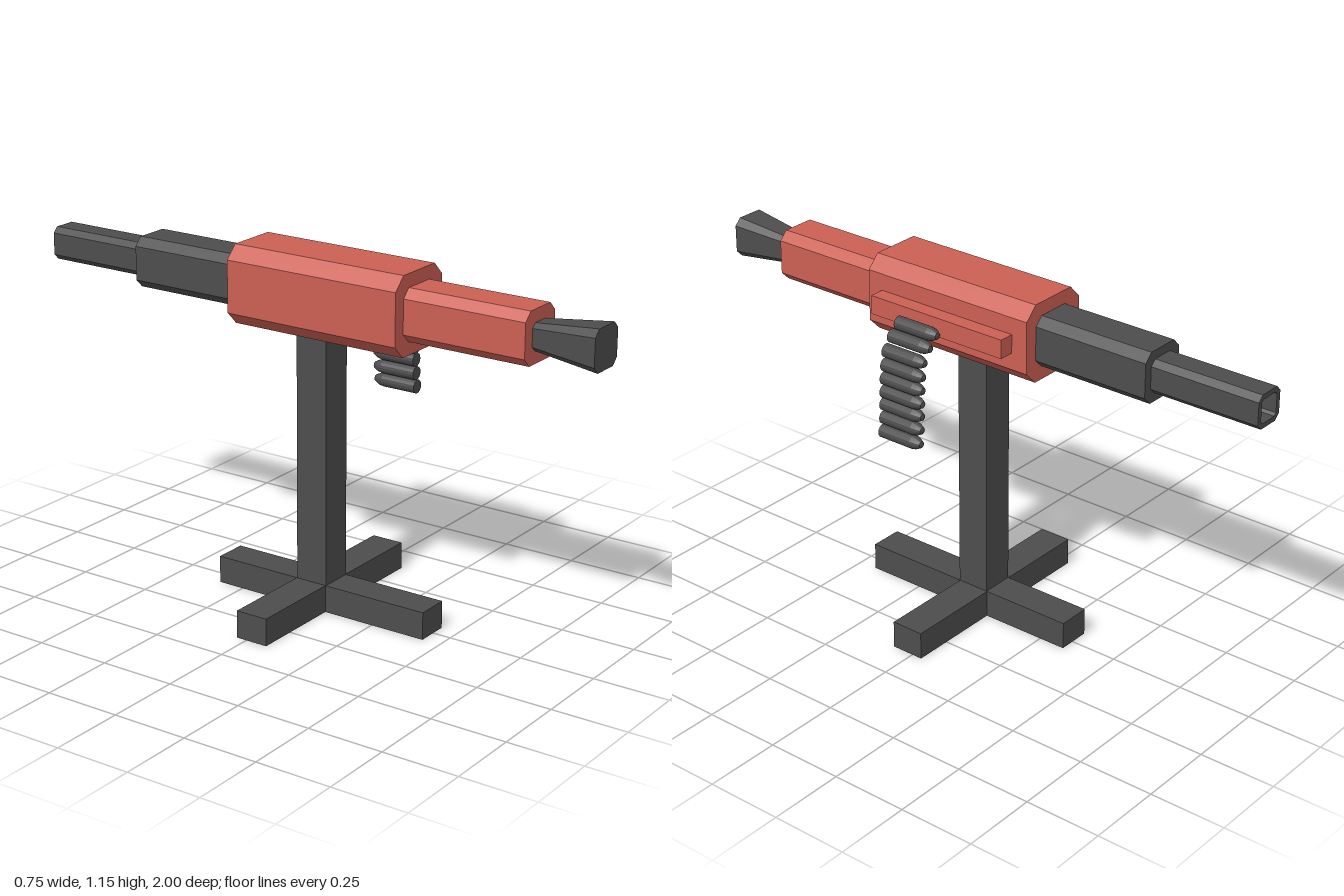
import * as THREE from 'three';

const CX = -0.008, CY = 1.028; // axis shared by the long body parts

// Square outline with cut corners
function octagon(half, cut, Type = THREE.Shape) {
  const a = half, b = half - cut;
  return new Type([[b, -a], [a, -b], [a, b], [b, a], [-b, a], [-a, b], [-a, -b], [-b, -a]]
    .map(([x, y]) => new THREE.Vector2(x, y)));
}

export function createModel() {
  const model = new THREE.Group();
  const red = new THREE.MeshStandardMaterial({ color: 0xcc6054, flatShading: true });
  const dark = new THREE.MeshStandardMaterial({ color: 0x4d4d4d, flatShading: true });

  function add(name, geometry, material, x = 0, y = 0, z = 0, parent = model) {
    const mesh = new THREE.Mesh(geometry, material);
    mesh.name = name;
    mesh.position.set(x, y, z);
    parent.add(mesh);
    return mesh;
  }

  // Box given by its minimum and maximum corners
  function box(name, material, [x0, y0, z0], [x1, y1, z1]) {
    add(name, new THREE.BoxGeometry(x1 - x0, y1 - y0, z1 - z0), material,
      (x0 + x1) / 2, (y0 + y1) / 2, (z0 + z1) / 2);
  }

  // Cut-corner bar along z, with an optional square bore
  function bar(name, material, half, cut, z0, z1, bore = 0) {
    const shape = octagon(half, cut);
    if (bore) shape.holes.push(octagon(bore, 0.008, THREE.Path));
    const geometry = new THREE.ExtrudeGeometry(shape, { depth: z1 - z0, bevelEnabled: false });
    return add(name, geometry, material, CX, CY, z0);
  }

  // Stand
  box('post', dark, [-0.061, 0, -0.033], [0.049, 0.91, 0.077]);
  box('footCrossways', dark, [-0.375, 0, -0.035], [0.373, 0.09, 0.075]);
  box('footLengthways', dark, [-0.061, 0, -0.34], [0.049, 0.09, 0.438]);

  // Body, from front to back
  bar('housing', red, 0.126, 0.042, -0.24, 0.373);
  bar('frontHousing', red, 0.083, 0.028, 0.373, 0.785);
  bar('sleeve', dark, 0.082, 0.027, -0.635, -0.24);
  bar('barrel', dark, 0.054, 0.018, -1, -0.635, 0.038);

  // Flared end, narrow where it meets the front housing
  const flareLength = 0.215;
  const flare = bar('flaredEnd', dark, 0.066, 0.022, 0.785, 0.785 + flareLength);
  const pos = flare.geometry.attributes.position;
  for (let i = 0; i < pos.count; i++) {
    const s = THREE.MathUtils.lerp(0.64, 1, pos.getZ(i) / flareLength);
    pos.setXY(i, pos.getX(i) * s, pos.getY(i) * s);
  }
  flare.geometry.computeVertexNormals();

  // Side rail on the left
  box('sideRail', red, [0.11, 0.997, -0.185], [0.168, 1.058, 0.32]);

  // Hanging belt of round-nosed pins, noses pointing back
  const belt = new THREE.Group();
  belt.name = 'belt';
  model.add(belt);
  const profile = [[0, 0], [0.022, 0], [0.022, 0.122], [0.019, 0.138], [0.011, 0.154], [0, 0.157]]
    .map(([r, h]) => new THREE.Vector2(r, h));
  const pin = new THREE.LatheGeometry(profile, 16);
  pin.rotateX(-Math.PI / 2);
  const pinMaterial = new THREE.MeshStandardMaterial({ color: 0x4d4d4d, flatShading: true });
  const path = [[0.189, 1.012], [0.221, 0.981], [0.247, 0.942], [0.254, 0.898], [0.258, 0.855],
    [0.26, 0.811], [0.262, 0.77], [0.264, 0.725], [0.269, 0.68]];
  path.forEach(([x, y], i) => add(`beltPin${i + 1}`, pin, pinMaterial, x, y, 0.194, belt));

  return model;
}
